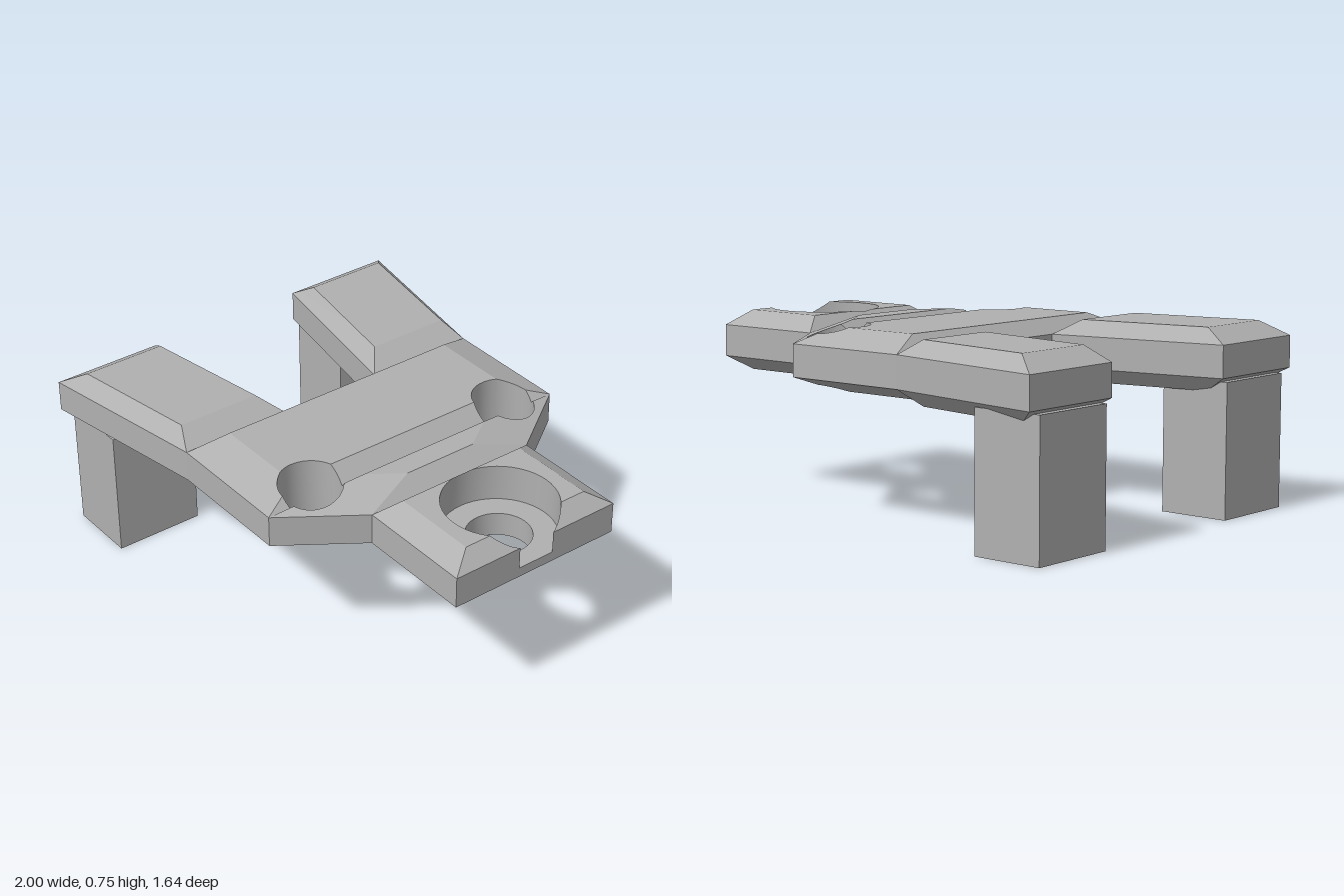
import * as THREE from 'three';
import { toCreasedNormals } from 'three/addons/utils/BufferGeometryUtils.js';

const LEVELS = [0.5, 0.56, 0.69, 0.75]; // underside, lower rim, upper rim, top
const SIDES = 48;
const V = (x, y, z) => new THREE.Vector3(x, y, z);
const planeOf = (f) => new THREE.Plane().setFromCoplanarPoints(f[0], f[1], f[2]);

// Keep the part of a convex polygon behind a plane.
function clip(poly, plane) {
  const out = [];
  poly.forEach((a, i) => {
    const b = poly[(i + 1) % poly.length];
    const da = plane.distanceToPoint(a), db = plane.distanceToPoint(b);
    if (da <= 1e-7) out.push(a);
    if ((da > 1e-7 && db < -1e-7) || (da < -1e-7 && db > 1e-7)) out.push(a.clone().lerp(b, da / (da - db)));
  });
  return out.length > 2 ? out : [];
}
const clipAll = (poly, planes) => planes.reduce((p, pl) => (p.length ? clip(p, pl) : p), poly);

// Remove a convex cutter from a polygon, leaving convex pieces.
function carve(poly, planes) {
  const pieces = [];
  let rest = poly;
  for (const pl of planes) {
    if (!rest.length) break;
    const outside = clip(rest, pl.clone().negate());
    if (outside.length) pieces.push(outside);
    rest = clip(rest, pl);
  }
  return rest.length ? pieces : [poly];
}

// Convex slab with bevelled top and bottom: outer and inset corner lists are [x, z].
function slabFaces(outer, inset) {
  const rings = [inset, outer, outer, inset].map((r, k) => r.map(([x, z]) => V(x, LEVELS[k], z)));
  const faces = [rings[0], rings[3]];
  const n = outer.length;
  for (let k = 0; k < 3; k++) {
    for (let i = 0; i < n; i++) {
      const j = (i + 1) % n;
      faces.push([rings[k][i], rings[k][j], rings[k + 1][j], rings[k + 1][i]]);
    }
  }
  const centre = V(0, 0, 0);
  outer.forEach(([x, z]) => centre.add(V(x / n, 0.625 / n, z / n)));
  return faces.map((f) => (planeOf(f).distanceToPoint(centre) > 0 ? [...f].reverse() : f));
}

// Drill round vertical holes: { x, z, r, floor, ceiling }.
function drill(faces, holes) {
  const solid = faces.map(planeOf);
  let result = faces;
  for (const { x, z, r, floor = 0, ceiling = 1 } of holes) {
    const rim = (i, y) => {
      const a = ((i % SIDES) / SIDES) * Math.PI * 2;
      return V(x + r * Math.cos(a), y, z + r * Math.sin(a));
    };
    const walls = [], cutter = [];
    for (let i = 0; i < SIDES; i++) {
      const wall = [rim(i, floor), rim(i + 1, floor), rim(i + 1, ceiling), rim(i, ceiling)];
      walls.push(wall);
      cutter.push(planeOf(wall).negate());
      if (cutter[i].distanceToPoint(V(x, 0.5, z)) > 0) {
        wall.reverse();
        cutter[i].negate();
      }
    }
    if (floor > 0) {
      cutter.push(new THREE.Plane(V(0, -1, 0), floor));
      walls.push(Array.from({ length: SIDES }, (_, i) => rim(SIDES - i, floor)));
    }
    result = result.flatMap((f) => carve(f, cutter));
    result.push(...walls.map((w) => clipAll(w, solid)).filter((w) => w.length));
  }
  return result;
}

function toGeometry(faces) {
  const points = [];
  for (const f of faces) {
    for (let i = 1; i < f.length - 1; i++) {
      const tri = new THREE.Triangle(f[0], f[i], f[i + 1]);
      if (tri.getArea() > 1e-9) points.push(f[0], f[i], f[i + 1]);
    }
  }
  return toCreasedNormals(new THREE.BufferGeometry().setFromPoints(points), 0.3);
}

export function createModel() {
  const model = new THREE.Group();
  model.name = 'bracket';
  const grey = new THREE.MeshStandardMaterial({ color: 0xb0b0b0 });
  grey.name = 'grey';
  const add = (name, geometry) => {
    const mesh = new THREE.Mesh(geometry, grey);
    mesh.name = name;
    model.add(mesh);
    return mesh;
  };
  // Four-cornered outline symmetric in z, from its two ends
  const sym = (x0, z0, x1, z1) => [[x0, -z0], [x1, -z1], [x1, z1], [x0, z0]];

  const sideHoles = [-1, 1].map((s) => ({ x: 0.25, z: s * 0.475, r: 0.126 }));

  // Wide central plate and the tapering neck share the two side holes
  add('centralPlate', toGeometry(drill(
    slabFaces(sym(-0.26, 0.695, 0.285, 0.695), sym(-0.195, 0.535, 0.215, 0.535)), sideHoles)));
  add('neck', toGeometry(drill(
    slabFaces(sym(0.285, 0.695, 0.505, 0.38), sym(0.345, 0.296, 0.44, 0.16)), sideHoles)));

  // Mounting tab with a counterbore breaking through its end
  add('mountingTab', toGeometry(drill(
    slabFaces(sym(0.505, 0.38, 1, 0.38), sym(0.57, 0.285, 0.935, 0.285)),
    [{ x: 0.79, z: 0, r: 0.225, floor: 0.6 }, { x: 0.79, z: 0, r: 0.128, ceiling: 0.6 }])));

  // Splayed arms and their legs
  for (const s of [-1, 1]) {
    const side = s > 0 ? 'front' : 'back';
    const flip = (pts) => pts.map(([x, z]) => [x, s * z]);
    add(side + 'Arm', toGeometry(slabFaces(
      flip([[-1, 0.822], [-0.26, 0.695], [-0.26, 0.225], [-1, 0.352]]),
      flip([[-0.9, 0.743], [-0.355, 0.652], [-0.355, 0.3], [-0.9, 0.392]]))));
    add(side + 'Leg', new THREE.BoxGeometry(0.3, 0.543, 0.382)).position.set(-0.85, 0.2715, s * 0.573);
  }
  return model;
}
